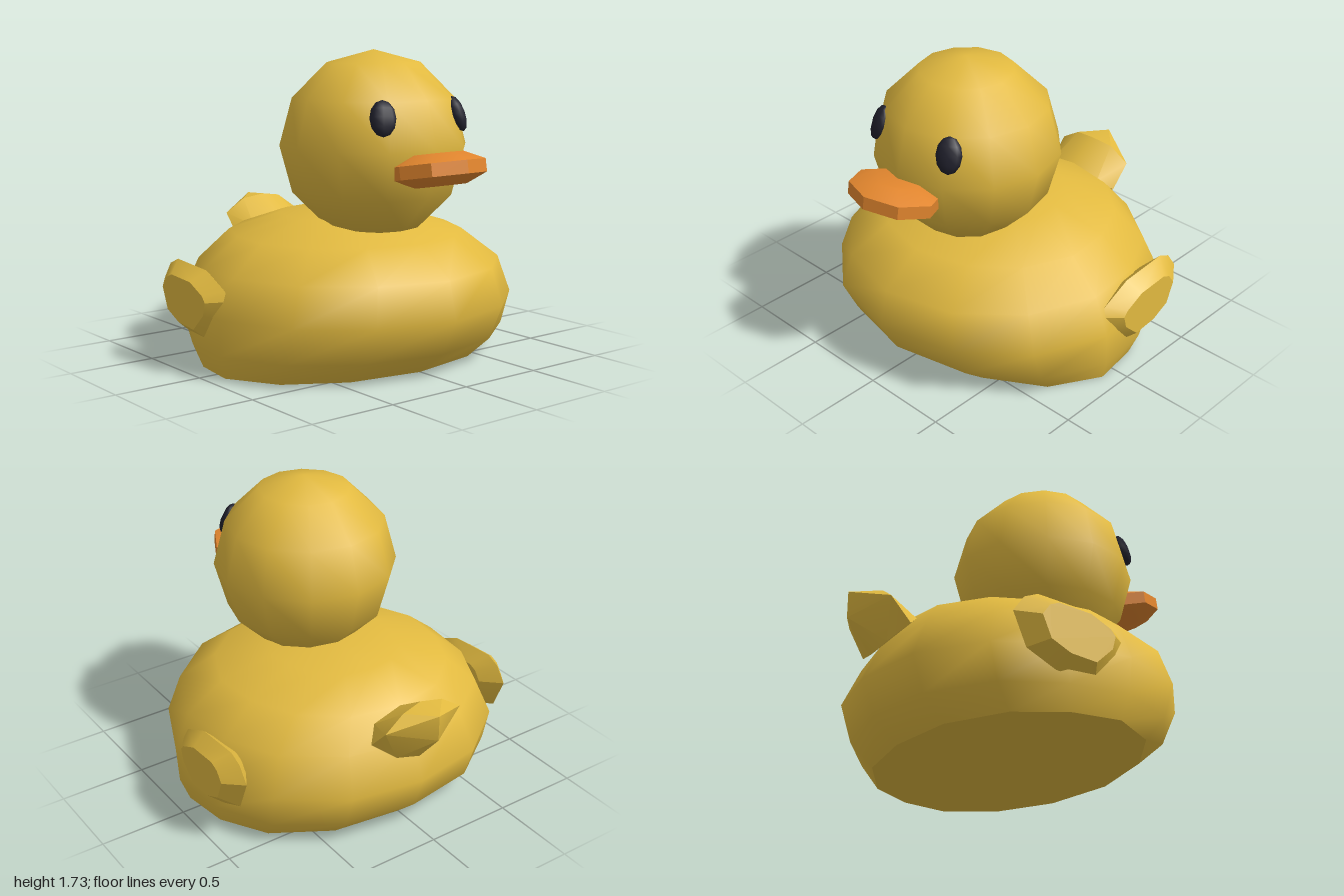
import * as THREE from 'three';
import { toCreasedNormals } from 'three/addons/utils/BufferGeometryUtils.js';
import { ConvexGeometry } from 'three/addons/geometries/ConvexGeometry.js';

const V = (x, y, z) => new THREE.Vector3(x, y, z);

const material = (name, color) => {
  const m = new THREE.MeshStandardMaterial({ color });
  m.name = name;
  return m;
};

function add(parent, name, geometry, mat) {
  const mesh = new THREE.Mesh(geometry, mat);
  mesh.name = name;
  parent.add(mesh);
  return mesh;
}

// Closed convex solid with softened low-poly edges
const solid = (points, crease) => toCreasedNormals(new ConvexGeometry(points), crease);

// Smooth body: one plan outline scaled at each height, with a flat base
function bodyGeometry() {
  const half = [[0, 1], [0.47, 0.88], [0.82, 0.58], [1, 0.15], [0.96, -0.26], [0.79, -0.64], [0.44, -0.92], [0, -1]];
  const outline = [...half, ...half.slice(1, -1).reverse().map(([x, z]) => [-x, z])];
  const n = outline.length;
  // height, half width, front reach, back reach
  const rings = [
    [0, 0.9, 0.64, 0.68], [0.13, 0.945, 0.81, 0.82], [0.33, 0.95, 0.92, 0.89],
    [0.54, 0.86, 0.87, 0.79], [0.7, 0.66, 0.64, 0.67], [0.795, 0.36, 0.28, 0.41],
  ];
  const pos = [], index = [];
  for (const [y, w, f, b] of rings) {
    for (const [x, z] of outline) pos.push(x * w, y, z * (z > 0 ? f : b));
  }
  for (let r = 0; r < rings.length - 1; r++) {
    for (let j = 0; j < n; j++) {
      const a = r * n + j, b = r * n + (j + 1) % n;
      index.push(a, b, b + n, a, b + n, a + n);
    }
  }
  // Crown fan
  const top = pos.length / 3, last = (rings.length - 1) * n;
  pos.push(0, 0.82, -0.05);
  for (let j = 0; j < n; j++) index.push(top, last + j, last + (j + 1) % n);
  // Base fan on its own vertices, so its rim stays sharp
  const base = pos.length / 3;
  pos.push(0, 0, 0, ...pos.slice(0, n * 3));
  for (let j = 0; j < n; j++) index.push(base, base + 1 + (j + 1) % n, base + 1 + j);

  const g = new THREE.BufferGeometry();
  g.setAttribute('position', new THREE.Float32BufferAttribute(pos, 3));
  g.setIndex(index);
  g.computeVertexNormals();
  return g;
}

// Lens-shaped wing: a sharp rim with smaller faces either side
function wingGeometry() {
  const rim = [[0.13, 0.42], [0.09, 0.47], [-0.09, 0.555], [-0.38, 0.575], [-0.46, 0.54],
    [-0.525, 0.45], [-0.45, 0.27], [-0.28, 0.19], [-0.05, 0.168], [0.1, 0.31]];
  const points = [];
  for (const [x, s] of [[0.815, 0.62], [0.89, 1], [0.975, 0.66]]) {
    for (const [z, y] of rim) points.push(V(x, 0.38 + (y - 0.38) * s, -0.18 + (z + 0.18) * s));
  }
  return solid(points, 0.5);
}

// Flattened eight-sided bill
function beakGeometry() {
  const points = [];
  for (const [y, s] of [[-0.085, 0.55], [-0.035, 1], [0.035, 1], [0.085, 0.55]]) {
    for (let i = 0; i < 8; i++) {
      const a = i * Math.PI / 4;
      points.push(V(Math.sin(a) * 0.27 * s, y, Math.cos(a) * 0.22 * s));
    }
  }
  return solid(points, 0.6);
}

// Upturned wedge tail
function tailGeometry() {
  const points = [V(0, 0.81, -0.84), V(0, 0.8, -1), V(0, 0.65, -1), V(0, 0.69, -0.66), V(0, 0.47, -0.85)];
  for (const s of [-1, 1]) {
    points.push(V(0.13 * s, 0.79, -0.86), V(0.25 * s, 0.71, -0.87), V(0.25 * s, 0.58, -0.75),
      V(0.18 * s, 0.65, -0.68), V(0.14 * s, 0.5, -0.83));
  }
  return solid(points, 0.5);
}

export function createModel() {
  const group = new THREE.Group();
  group.name = 'toyDuck';
  const yellow = material('yellow', 0xe2ba40);
  const orange = material('orange', 0xe2862e);
  const black = material('black', 0x20202c);

  add(group, 'body', bodyGeometry(), yellow);
  add(group, 'tail', tailGeometry(), yellow);

  const headCentre = V(0, 1.205, 0.235);
  add(group, 'head', new THREE.SphereGeometry(0.52, 12, 6), yellow).position.copy(headCentre);

  const beak = add(group, 'beak', beakGeometry(), orange);
  beak.position.set(0, 1.115, 0.775);
  beak.rotation.x = -0.17;

  // Wings and eyes, mirrored
  const wing = wingGeometry();
  const eyeShape = new THREE.SphereGeometry(1, 8, 6);
  eyeShape.scale(0.07, 0.1, 0.04);
  for (const [side, s] of [['left', 1], ['right', -1]]) {
    add(group, side + 'Wing', wing, yellow).scale.x = s;
    const eye = add(group, side + 'Eye', eyeShape, black);
    eye.position.set(0.262 * s, 1.385, 0.63);
    eye.lookAt(eye.position.clone().multiplyScalar(2).sub(headCentre));
  }
  return group;
}
